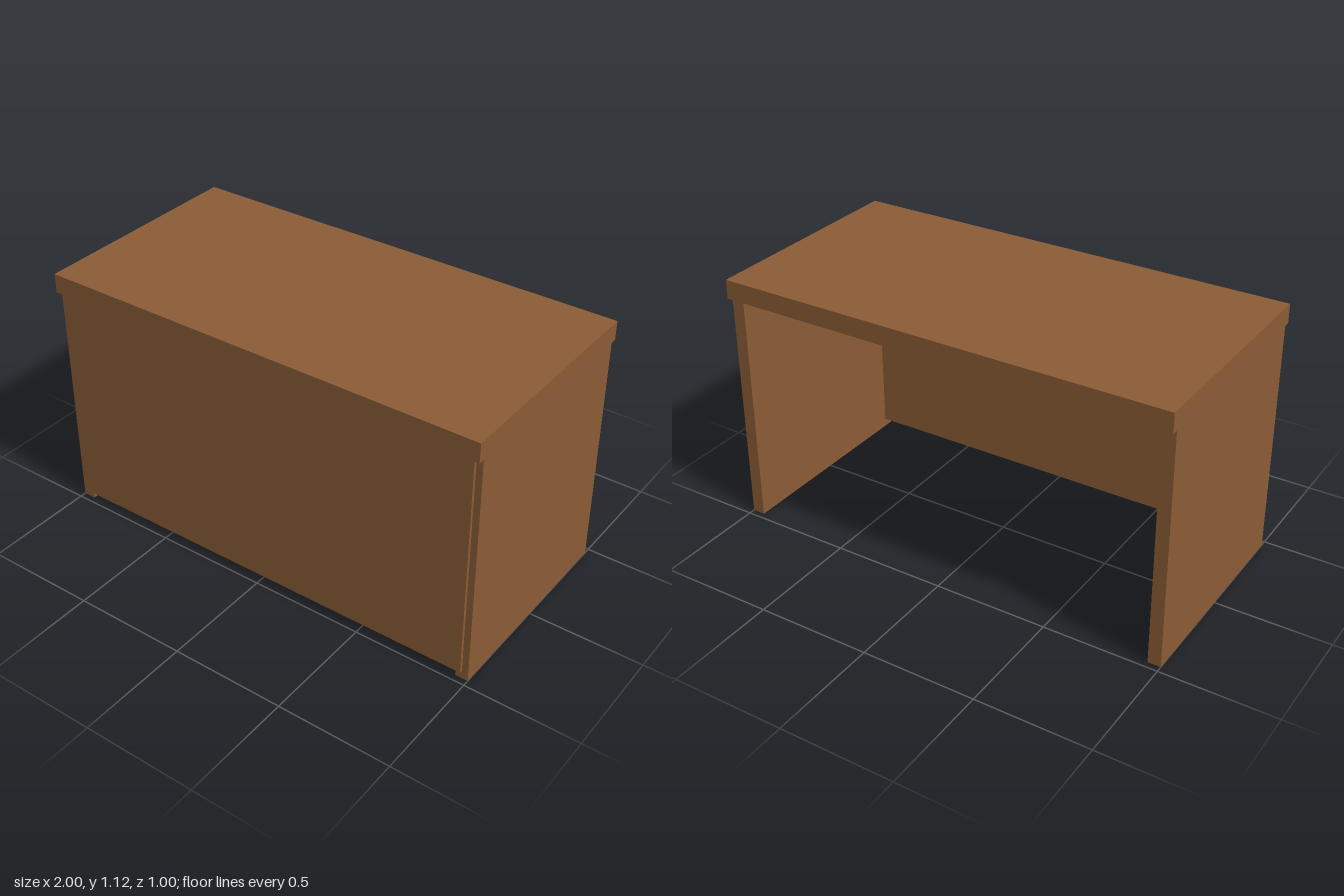
import * as THREE from 'three';

export function createModel() {
  const desk = new THREE.Group();
  desk.name = 'desk';

  const wood = new THREE.MeshStandardMaterial({ color: 0x8b5c36 });
  wood.name = 'brown wood';

  // Adds a board spanning two opposite corners
  function board(name, [x0, y0, z0], [x1, y1, z1]) {
    const mesh = new THREE.Mesh(new THREE.BoxGeometry(x1 - x0, y1 - y0, z1 - z0), wood);
    mesh.name = name;
    mesh.position.set((x0 + x1) / 2, (y0 + y1) / 2, (z0 + z1) / 2);
    desk.add(mesh);
  }

  const under = 1.039; // underside of the top
  const thick = 0.056; // board thickness

  // Overhanging top
  board('desktop', [-1, under, -0.5], [1, 1.123, 0.5]);

  // Side panels, flush with the ends of the top
  board('leftSide', [1 - thick, 0, -0.472], [1, under, 0.472]);
  board('rightSide', [-1, 0, -0.472], [-1 + thick, under, 0.472]);

  // Front panel, let into the sides and raised off the floor
  board('frontPanel', [-0.972, 0.038, 0.486 - thick], [0.972, under, 0.486]);

  return desk;
}
